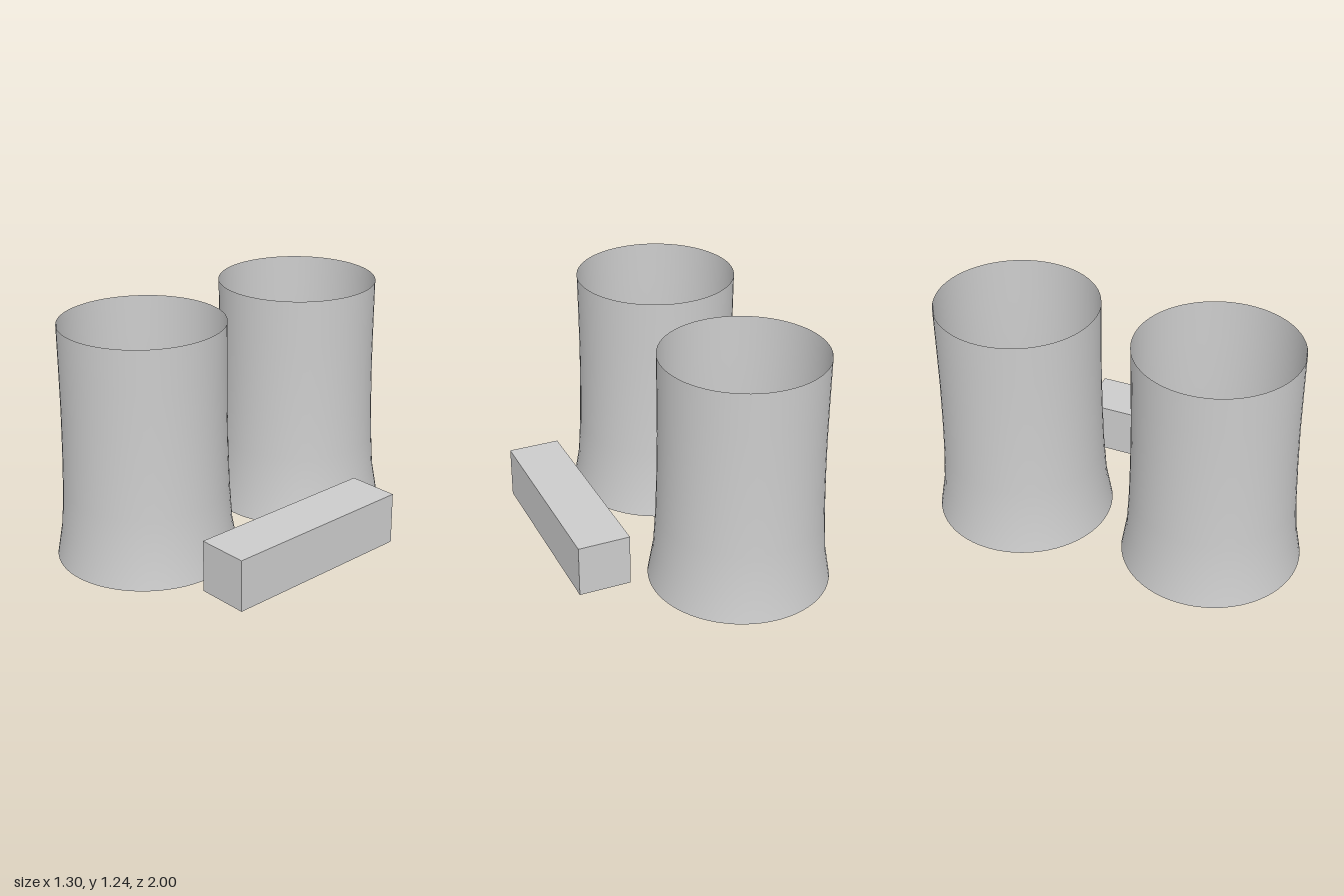
import * as THREE from 'three';

export function createModel() {
  const group = new THREE.Group();
  const concrete = new THREE.MeshStandardMaterial({ color: 0xcccccc, side: THREE.DoubleSide });
  concrete.name = 'concrete grey';

  // Two open, thin-walled cooling towers with a flared foot
  const profile = [
    [0.467, 0], [0.438, 0.17], [0.426, 0.37], [0.42, 0.58],
    [0.417, 0.8], [0.418, 1.02], [0.42, 1.243],
  ].map(([r, y]) => new THREE.Vector2(r, y));
  const towerGeometry = new THREE.LatheGeometry(profile, 64);
  for (const side of [1, -1]) {
    const tower = new THREE.Mesh(towerGeometry, concrete);
    tower.name = side > 0 ? 'frontTower' : 'backTower';
    tower.position.set(-0.183, 0, side * 0.533);
    group.add(tower);
  }

  // Long low building, open underneath
  const hallGeometry = new THREE.BoxGeometry(0.275, 0.275, 1.065);
  const index = Array.from(hallGeometry.index.array);
  index.splice(18, 6); // drop the floor face
  hallGeometry.setIndex(index);
  hallGeometry.clearGroups();
  const hall = new THREE.Mesh(hallGeometry, concrete);
  hall.name = 'turbineHall';
  hall.position.set(0.51, 0.147, 0.105);
  group.add(hall);

  return group;
}
